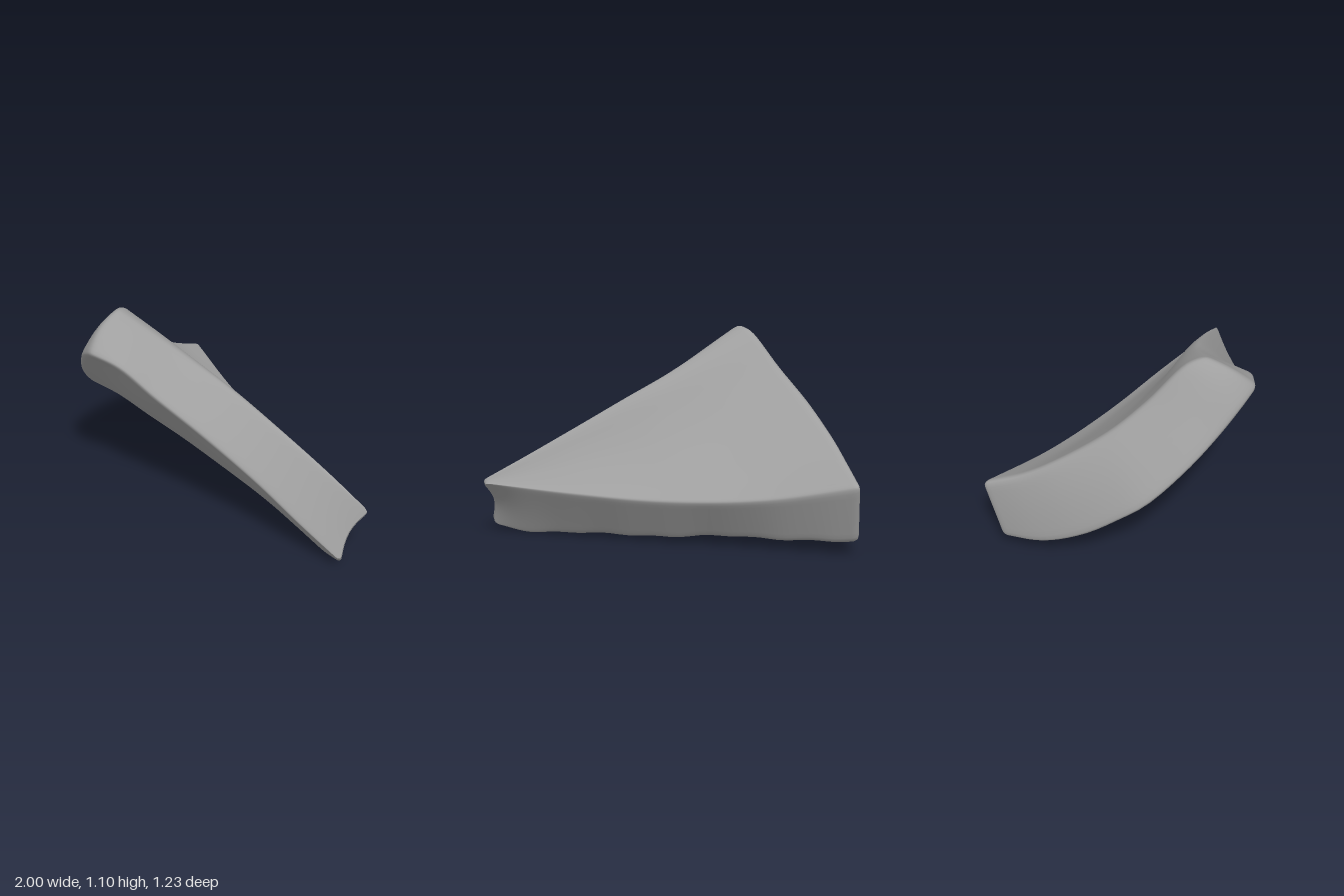
import * as THREE from 'three';
import { mergeVertices } from 'three/addons/utils/BufferGeometryUtils.js';

const curve = (...pts) => new THREE.CatmullRomCurve3(pts.map(p => new THREE.Vector3(...p)));

// Each broad face is a three-sided patch: two long edges fan out from the narrow tip to a curved rim.
// fade sets how quickly the bow of the rim dies away towards the tip.
const upper = {
  fade: 1,
  low: curve([1.022, 0.3, -0.16], [0.5, 0.27, -0.3], [0, 0.255, -0.41], [-0.5, 0.29, -0.52], [-0.995, 0.39, -0.635]),
  high: curve([1.022, 0.3, -0.16], [0.76, 0.445, -0.1], [0.5, 0.59, -0.025], [0.22, 0.745, 0.065], [0, 0.86, 0.15], [-0.2, 0.98, 0.25], [-0.41, 1.115, 0.375]),
  rim: curve([-0.995, 0.39, -0.635], [-0.945, 0.48, -0.42], [-0.885, 0.58, -0.25], [-0.755, 0.75, -0.01], [-0.625, 0.9, 0.145], [-0.48, 1.085, 0.3], [-0.41, 1.115, 0.375]),
};
const lower = {
  fade: 1.5,
  low: curve([0.99, 0.04, -0.005], [0.8, 0.0, -0.05], [0.4, 0.015, -0.16], [0, 0.02, -0.265], [-0.3, 0.045, -0.335], [-0.6, 0.045, -0.42], [-1.005, 0.06, -0.53]),
  high: curve([0.99, 0.04, -0.005], [0.75, 0.2, 0.085], [0.5, 0.38, 0.18], [0.22, 0.59, 0.32], [0, 0.76, 0.45], [-0.17, 0.9, 0.55], [-0.33, 0.95, 0.63]),
  rim: curve([-1.005, 0.06, -0.53], [-1.005, 0.11, -0.28], [-0.985, 0.23, -0.04], [-0.945, 0.36, 0.14], [-0.89, 0.465, 0.275], [-0.73, 0.64, 0.435], [-0.58, 0.78, 0.535], [-0.45, 0.89, 0.6], [-0.33, 0.95, 0.63]),
};

// Point on a patch: u runs from the low edge to the high edge, v from the tip to the rim
function patch(face, u, v) {
  const p = face.low.getPointAt(v).lerp(face.high.getPointAt(v), u);
  const chord = face.low.getPointAt(1).lerp(face.high.getPointAt(1), u);
  return p.addScaledVector(face.rim.getPointAt(u).sub(chord), Math.pow(v, face.fade));
}

function shardGeometry() {
  const box = new THREE.BoxGeometry(1, 1, 1, 40, 14, 56);
  box.deleteAttribute('normal');
  box.deleteAttribute('uv');
  const geo = mergeVertices(box);
  const pos = geo.attributes.position;
  const radius = [0.025, 0.09, 0.02];
  const tipHollow = new THREE.Vector3(-0.04, 0.015, 0.01);
  const rimBulge = new THREE.Vector3(-0.01, 0.022, 0.018);
  for (let i = 0; i < pos.count; i++) {
    // crowd the grid towards the borders, then round the edges of the unit block
    const p = [pos.getX(i), pos.getY(i), pos.getZ(i)].map(c => 0.5 * Math.sin(Math.PI * c));
    const q = p.map((c, k) => THREE.MathUtils.clamp(c, radius[k] - 0.5, 0.5 - radius[k]));
    const d = new THREE.Vector3(...p.map((c, k) => (c - q[k]) / radius[k])).normalize().toArray();
    const [u, w, t] = q.map((c, k) => THREE.MathUtils.clamp(c + d[k] * radius[k] + 0.5, 0, 1));
    const v = 0.012 + 0.988 * t;
    const s = patch(lower, u, v).lerp(patch(upper, u, v), w);
    // hollow tip, bulging rim and slightly uneven broken lower edge
    const belly = Math.sin(Math.PI * w);
    s.addScaledVector(tipHollow, belly * Math.pow(1 - v, 12));
    s.addScaledVector(rimBulge, belly * Math.pow(v, 12) * u);
    s.y += 0.004 * Math.sin(s.x * 23) * Math.pow(1 - u, 8) * (1 - w);
    pos.setXYZ(i, s.x, s.y, s.z);
  }
  // centre it and stand it on the ground
  geo.computeBoundingBox();
  const mid = geo.boundingBox.getCenter(new THREE.Vector3());
  geo.translate(-mid.x, -geo.boundingBox.min.y, -mid.z);
  geo.computeVertexNormals();
  return geo;
}

export function createModel() {
  const group = new THREE.Group();
  const shard = new THREE.Mesh(shardGeometry(), new THREE.MeshStandardMaterial({ color: 0x9f9f9f }));
  shard.name = 'curvedShard';
  group.add(shard);
  return group;
}
